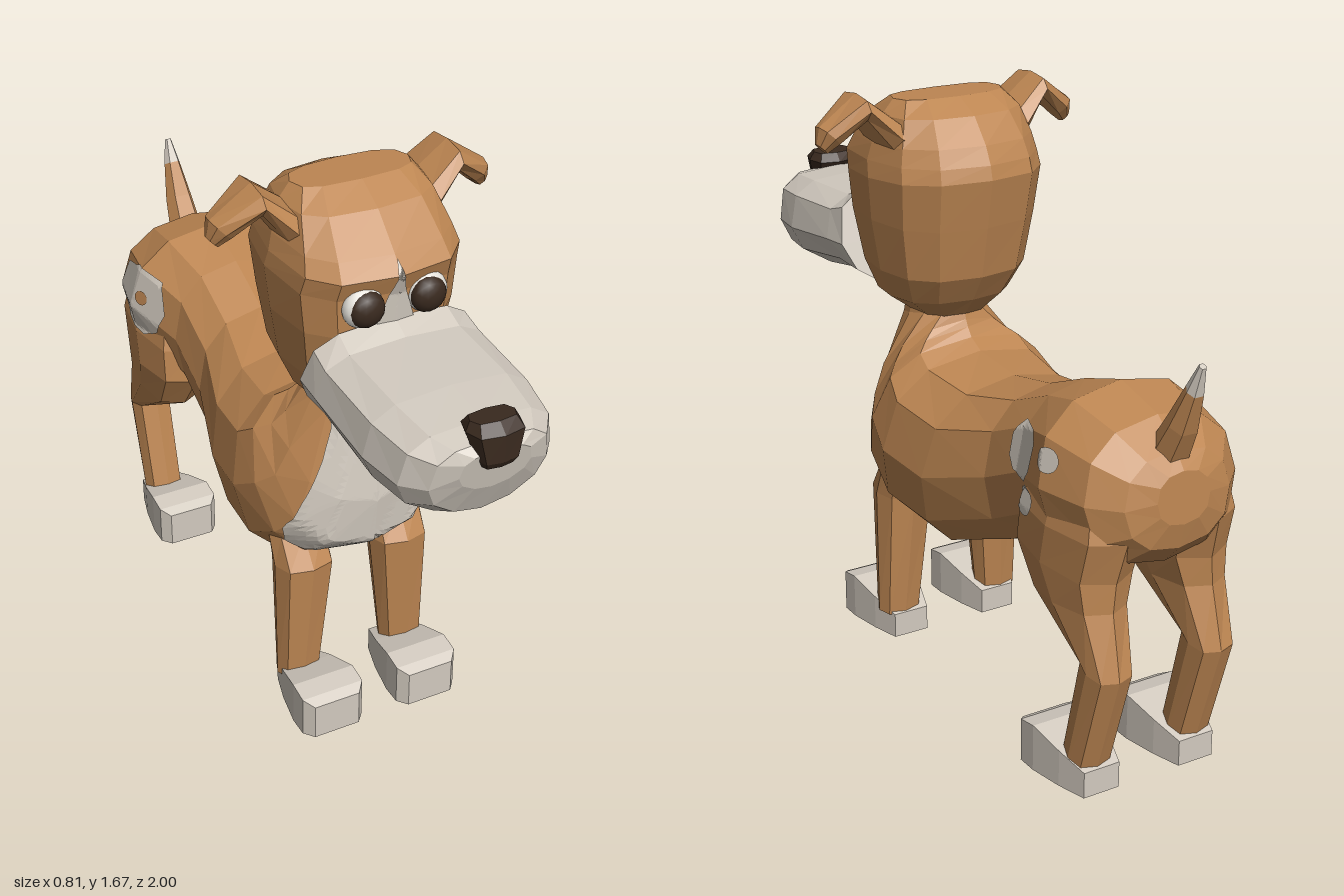
import * as THREE from 'three';

const V = (x, y, z) => new THREE.Vector3(x, y, z);
const mat = (name, color) => Object.assign(new THREE.MeshStandardMaterial({ color }), { name });

// Ring of points around c with half axes a and b; a power below 1 makes it boxier,
// and the half away from b may have its own power
function ring(c, a, b, n = 12, power = 0.85, lowPower = power, phase = 0) {
  return Array.from({ length: n }, (_, i) => {
    const t = (i / n) * Math.PI * 2 + phase;
    const p = Math.sin(t) < -0.01 ? lowPower : power;
    const soft = (v) => Math.sign(v) * Math.abs(v) ** p;
    return c.clone().addScaledVector(a, soft(Math.cos(t))).addScaledVector(b, soft(Math.sin(t)));
  });
}

// Ring given by two opposite points in the side plane and a half width
const section = ([z1, y1, z2, y2, hw], x = 0, n, power, lowPower) =>
  ring(V(x, (y1 + y2) / 2, (z1 + z2) / 2), V(hw, 0, 0), V(0, (y1 - y2) / 2, (z1 - z2) / 2), n, power, lowPower);

// Faceted geometry from triangles
function facets(tris) {
  const g = new THREE.BufferGeometry().setFromPoints(tris);
  g.computeVertexNormals();
  return g;
}

// Capped skin over rings, turned outwards by its signed volume
function loft(rings) {
  const tris = [];
  const n = rings[0].length;
  const mid = (r) => r.reduce((s, p) => s.add(p), V(0, 0, 0)).divideScalar(n);
  const first = mid(rings[0]), last = mid(rings.at(-1));
  for (let j = 0; j < n; j++) {
    const k = (j + 1) % n;
    for (let i = 0; i < rings.length - 1; i++) {
      const [a, b, c, d] = [rings[i][j], rings[i][k], rings[i + 1][k], rings[i + 1][j]];
      tris.push(a, b, c, a, c, d);
    }
    tris.push(first, rings[0][k], rings[0][j], last, rings.at(-1)[j], rings.at(-1)[k]);
  }
  let volume = 0;
  for (let i = 0; i < tris.length; i += 3) {
    const [a, b, c] = [0, 1, 2].map((q) => tris[i + q].clone().sub(first));
    volume += a.dot(b.cross(c));
  }
  return facets(volume < 0 ? tris.reverse() : tris);
}

// Thin marking laid on the targets: an outline projected along dir
function marking(targets, outline, place, dir, lift = 0.006) {
  const centre = outline.reduce((s, p) => s.add(p), new THREE.Vector2()).divideScalar(outline.length);
  const caster = new THREE.Raycaster();
  const steps = 10, n = outline.length;
  const project = (p) => {
    caster.set(place(p.x, p.y), dir);
    const hit = caster.intersectObjects(targets)[0];
    return hit && hit.point.clone().addScaledVector(hit.face.normal, lift);
  };
  const rows = Array.from({ length: steps + 1 }, (_, i) =>
    outline.map((p) => project(centre.clone().lerp(p, i / steps))));
  const tris = [];
  const add = (...t) => t.every(Boolean) && tris.push(...t);
  for (let i = 0; i < steps; i++) for (let j = 0; j < n; j++) {
    const k = (j + 1) % n;
    add(rows[i][j], rows[i + 1][j], rows[i + 1][k]);
    if (i) add(rows[i][j], rows[i + 1][k], rows[i][k]);
  }
  // Keep each face turned against the projection direction
  for (let i = 0; i < tris.length; i += 3) {
    const [a, b, c] = tris.slice(i, i + 3);
    if (b.clone().sub(a).cross(c.clone().sub(a)).dot(dir) > 0) [tris[i + 1], tris[i + 2]] = [c, b];
  }
  return facets(tris);
}

const polygon = (pts) => {
  const shape = new THREE.Shape(pts.map(([x, y]) => new THREE.Vector2(x, y)));
  shape.closePath();
  return shape.getSpacedPoints(56).slice(0, -1);
};
const oval = (u, v, ru, rv) => Array.from({ length: 16 }, (_, i) =>
  new THREE.Vector2(u + ru * Math.cos(i * Math.PI / 8), v + rv * Math.sin(i * Math.PI / 8)));

export function createModel() {
  const brown = mat('brown fur', 0xbd8652);
  const white = mat('pale fur', 0xd2cabf);
  const dark = mat('dark nose', 0x3a2a1f);
  const eyeWhite = mat('eye white', 0xe6e3dc);
  const dog = new THREE.Group();
  dog.name = 'dog';
  const add = (name, geometry, material) => {
    const m = new THREE.Mesh(geometry, material);
    m.name = name;
    dog.add(m);
    return m;
  };

  // Body and neck, from rump to throat; the last value is the boxiness
  const body = add('body', loft([
    [-0.935, 0.92, -0.945, 0.78, 0.08, 0.85], [-0.9, 0.965, -0.93, 0.71, 0.16, 0.85],
    [-0.82, 1.03, -0.87, 0.65, 0.232, 0.85],
    [-0.66, 1.07, -0.72, 0.61, 0.265, 0.85], [-0.5, 1.02, -0.5, 0.58, 0.205, 0.85],
    [-0.33, 0.95, -0.33, 0.49, 0.205, 0.85], [-0.15, 0.915, -0.05, 0.378, 0.27, 0.85],
    [0.03, 0.93, 0.14, 0.405, 0.29, 0.8], [0.08, 0.955, 0.29, 0.505, 0.27, 0.74],
    [0.1, 0.98, 0.375, 0.575, 0.232, 0.84], [0.11, 1.0, 0.388, 0.72, 0.195, 0.95],
    [0.12, 1.03, 0.35, 0.98, 0.115, 0.95], [0.12, 1.1, 0.33, 1.1, 0.1, 0.85],
  ].map((s) => section(s, 0, 12, s[5]))), brown);

  // Head, from jaw to crown: rounded back, flat face and a slight brow
  const head = add('head', loft([
    [0.12, 1.01, 0.35, 1.01, 0.1], [0.07, 1.07, 0.4, 1.06, 0.175],
    [0.02, 1.15, 0.43, 1.15, 0.212], [-0.01, 1.3, 0.465, 1.3, 0.236],
    [-0.035, 1.44, 0.472, 1.41, 0.248], [-0.025, 1.48, 0.492, 1.465, 0.242],
    [0, 1.53, 0.455, 1.51, 0.23], [0.06, 1.6, 0.365, 1.595, 0.205], [0.14, 1.64, 0.28, 1.64, 0.17],
  ].map((s) => section(s, 0, 12, 0.78, 0.64))), brown);

  // Muzzle with a flat top and narrowing jaw, and nose
  add('muzzle', loft([
    [0.46, 1.335, 0.35, 1.03, 0.24], [0.52, 1.305, 0.47, 1.05, 0.243],
    [0.75, 1.295, 0.73, 1.003, 0.24], [0.89, 1.28, 0.85, 1.0, 0.215],
    [0.955, 1.265, 0.91, 1.03, 0.165], [0.975, 1.24, 0.95, 1.12, 0.1],
  ].map((s) => section(s, 0, 12, 0.62, 1.05))), white);
  add('nose', loft([
    [0.93, 1.2, 0.988, 1.2, 0.045], [0.92, 1.22, 1, 1.22, 0.055],
    [0.88, 1.29, 1, 1.295, 0.075], [0.9, 1.315, 0.97, 1.32, 0.062],
  ].map((s) => section(s, 0, 8, 0.65))), dark);

  // Tail with pale tip
  const tail = [[0.92, -0.855, 0.056], [1.04, -0.922, 0.042], [1.14, -0.965, 0.025], [1.21, -0.991, 0.01]]
    .map(([y, z, r]) => ring(V(0, y, z), V(r, 0, 0), V(0, r * 0.5, r * 0.8), 6));
  add('tail', loft(tail.slice(0, 3)), brown);
  add('tailTip', loft(tail.slice(2)), white);

  const thighs = {};
  for (const s of [1, -1]) {
    const side = s > 0 ? 'left' : 'right';

    // Legs
    add(side + 'FrontLeg', loft([
      [0.2, 0.7, 0.12, 0.7, 0.06, 0.16], [0.25, 0.56, 0.14, 0.56, 0.083, 0.152],
      [0.31, 0.47, 0.158, 0.46, 0.085, 0.15], [0.285, 0.08, 0.19, 0.07, 0.064, 0.168],
    ].map((p) => section(p, s * p[5], 8, 0.75))), brown);
    thighs[side] = add(side + 'BackLeg', loft([
      [-0.55, 0.88, -0.87, 0.88, 0.09, 0.13], [-0.5, 0.74, -0.905, 0.74, 0.112, 0.14],
      [-0.49, 0.64, -0.872, 0.62, 0.105, 0.148],
      [-0.57, 0.52, -0.872, 0.54, 0.085, 0.155], [-0.79, 0.39, -0.915, 0.365, 0.062, 0.16],
      [-0.72, 0.1, -0.825, 0.07, 0.06, 0.16],
    ].map((p) => section(p, s * p[5], 8, 0.75))), brown);

    // Paws: back to front, boxy with bevelled toes
    for (const [name, z0] of [['FrontPaw', 0], ['BackPaw', -1.02]]) {
      add(side + name, loft([
        [0.185, 0.075, 0.055], [0.27, 0.105, 0.078], [0.37, 0.135, 0.095], [0.43, 0.125, 0.095], [0.46, 0.11, 0.07],
      ].map(([z, h, w]) => ring(V(s * 0.152, h / 2, z0 + z),
        V(w * Math.SQRT2, 0, 0), V(0, h / Math.SQRT2, 0), 4, 1, 1, Math.PI / 4))), white);
    }

    // Folded ears, broad at the root and pointed at the tip
    add(side + 'Ear', loft([
      [0.165, 1.545, 0.215, 0.12, -0.02, 0.05], [0.2, 1.55, 0.215, 0.115, -0.015, 0.045],
      [0.28, 1.63, 0.218, 0.09, 0, 0.036], [0.37, 1.56, 0.215, 0.05, 0.025, 0.025],
      [0.39, 1.525, 0.215, 0.022, 0.014, 0.014],
    ].map(([x, y, z, a, bx, by]) => ring(V(s * x, y, z), V(0, 0, a), V(s * bx, by, 0), 8))), brown);

    // Eyes
    const eye = (name, r, x, z, depth, m) => {
      const g = new THREE.IcosahedronGeometry(r, 2);
      g.scale(1, 1, depth).translate(s * x, 1.385, z);
      add(side + name, g, m);
    };
    eye('Eye', 0.057, 0.092, 0.46, 0.65, eyeWhite);
    eye('Pupil', 0.05, 0.088, 0.475, 0.66, dark);
  }

  // Pale bib, projected from slightly below, and forehead blaze
  const mirrored = (half) => [...half, ...half.slice().reverse().filter(([x]) => x).map(([x, y]) => [-x, y])];
  const upward = V(0, 0.4, -1).normalize();
  add('bib', marking([body], polygon(mirrored([
    [0, 0.555], [0.04, 0.525], [0.15, 0.51], [0.215, 0.53], [0.228, 0.6],
    [0.185, 0.72], [0.13, 0.85], [0.1, 0.93], [0.093, 1.01],
  ])), (u, v) => V(u, v, 0.35).addScaledVector(upward, -3), upward), white);
  add('blaze', marking([head], polygon(mirrored([
    [0, 1.3], [0.06, 1.3], [0.045, 1.35], [0.018, 1.43], [0, 1.5],
  ])), (u, v) => V(u, v, 3), V(0, 0, -1)), white);

  // Flank spots
  const spot = (name, s, shape, m = white, lift) => add(name, marking(
    [body, thighs[s > 0 ? 'left' : 'right']], shape, (u, v) => V(s * 3, v, u), V(-s, 0, 0), lift), m);
  spot('largeLeftSpot', 1, polygon([[-0.45, 0.83], [-0.45, 0.89], [-0.49, 0.935], [-0.59, 0.945],
    [-0.61, 0.92], [-0.6, 0.84], [-0.57, 0.805], [-0.48, 0.8]]));
  spot('rearLeftSpot', 1, oval(-0.7, 0.915, 0.04, 0.032));
  spot('lowerLeftSpot', 1, oval(-0.575, 0.755, 0.045, 0.038));
  spot('rightSpot', -1, polygon([[-0.55, 0.86], [-0.58, 0.95], [-0.68, 0.97], [-0.8, 0.93],
    [-0.83, 0.84], [-0.77, 0.76], [-0.65, 0.75], [-0.58, 0.79]]));
  spot('rightSpotCentre', -1, oval(-0.65, 0.88, 0.025, 0.022), brown, 0.0095);

  return dog;
}
